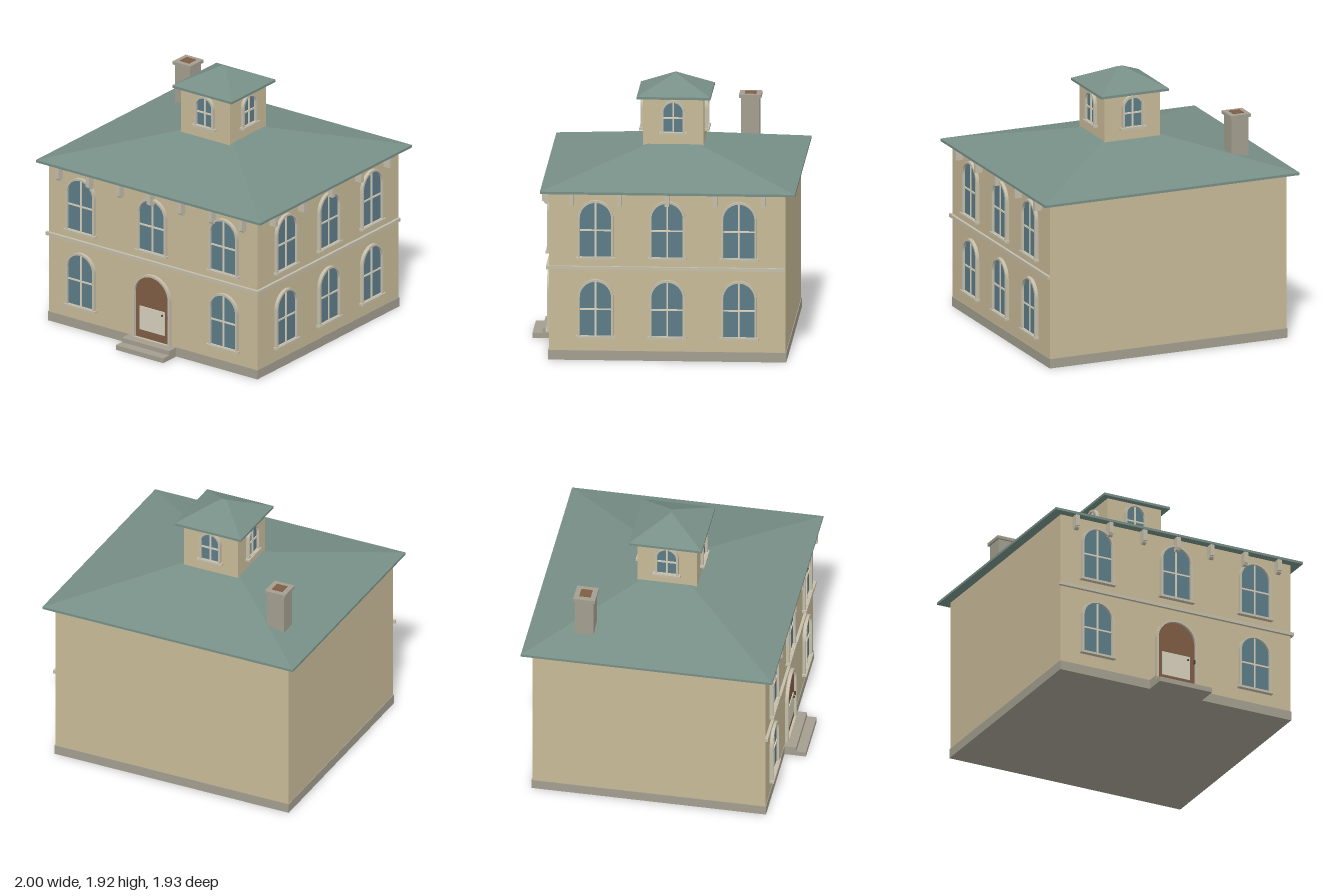
import * as THREE from 'three';

const paint = (name, color) => {
  const m = new THREE.MeshStandardMaterial({ color });
  m.name = name;
  return m;
};
const wall = paint('sand wall', 0xc8ba98);
const roofing = paint('green roofing', 0x778f87);
const stone = paint('grey stone', 0xa39e8f);
const trim = paint('pale trim', 0xc4bda9);
const glass = paint('blue glass', 0x5d7c88);
const bars = paint('cream bars', 0xd6d0bc);
const wood = paint('brown wood', 0x7f5d44);
const metal = paint('dark metal', 0x4a4038);

const ZC = -0.045; // middle of the walls in z

function add(parent, name, geometry, material, x = 0, y = 0, z = 0) {
  const mesh = new THREE.Mesh(geometry, material);
  mesh.name = name;
  mesh.position.set(x, y, z);
  parent.add(mesh);
  return mesh;
}

// Box given by its limits on each axis
function block(parent, name, material, [x0, x1], [y0, y1], [z0, z1]) {
  return add(parent, name, new THREE.BoxGeometry(x1 - x0, y1 - y0, z1 - z0), material,
    (x0 + x1) / 2, (y0 + y1) / 2, (z0 + z1) / 2);
}

// Hip roof: a box whose top corners are drawn in
function hipRoof(parent, name, w, d, topW, topD, y0, y1, z) {
  const g = new THREE.BoxGeometry(w, y1 - y0, d).toNonIndexed();
  const p = g.attributes.position;
  for (let i = 0; i < p.count; i++) {
    if (p.getY(i) > 0) {
      p.setX(i, Math.sign(p.getX(i)) * topW / 2);
      p.setZ(i, Math.sign(p.getZ(i)) * topD / 2);
    }
  }
  g.computeVertexNormals();
  add(parent, name, g, roofing, 0, (y0 + y1) / 2, z);
}

// Round-headed outline standing on y = base
function arch(path, half, top, base = 0) {
  path.moveTo(-half, base);
  path.lineTo(half, base);
  path.lineTo(half, top - half);
  path.absarc(0, top - half, half, 0, Math.PI, false);
  path.lineTo(-half, base);
  return path;
}

function archFrame(parent, name, half, top, width, depth) {
  const shape = arch(new THREE.Shape(), half, top);
  shape.holes.push(arch(new THREE.Path(), half - width, top - width, 0.004));
  add(parent, name, new THREE.ExtrudeGeometry(shape,
    { depth, bevelEnabled: false, curveSegments: 20 }), trim);
}

function archPanel(parent, name, half, top, material, z) {
  add(parent, name, new THREE.ShapeGeometry(arch(new THREE.Shape(), half, top), 20), material, 0, 0, z);
}

// Window with its sill top at the group origin, facing +z
function makeWindow(half, top, barY, sillHalf) {
  const g = new THREE.Group();
  g.name = 'window';
  archPanel(g, 'pane', half - 0.01, top - 0.01, glass, 0.005);
  archFrame(g, 'windowFrame', half, top, 0.016, 0.025);
  block(g, 'uprightBar', bars, [-0.006, 0.006], [0, top - 0.012], [0.004, 0.012]);
  block(g, 'crossBar', bars, [-half + 0.01, half - 0.01], [barY - 0.006, barY + 0.006], [0.004, 0.012]);
  block(g, 'sill', trim, [-sillHalf, sillHalf], [-0.015, 0.002], [0, 0.034]);
  return g;
}

// Eaves bracket facing +z, hung from the origin
function makeBracket(rounded) {
  const g = new THREE.Group();
  g.name = 'eavesBracket';
  block(g, 'bracketBlock', trim, [-0.016, 0.016], [-0.085, 0], [0, 0.055]);
  if (rounded) {
    const foot = new THREE.CylinderGeometry(0.022, 0.022, 0.032, 16).rotateZ(Math.PI / 2);
    add(g, 'bracketFoot', foot, trim, 0, -0.085, 0.022);
  }
  return g;
}

function place(parent, part, x, y, z, turn = 0) {
  part.position.set(x, y, z);
  part.rotation.y = turn;
  parent.add(part);
}

export function createModel() {
  const house = new THREE.Group();
  house.name = 'house';

  // Body, plinth and steps
  block(house, 'plinth', stone, [-0.935, 0.935], [0, 0.07], [-0.9, 0.81]);
  block(house, 'walls', wall, [-0.93, 0.93], [0.07, 1.232], [-0.895, 0.805]);
  block(house, 'lowerStep', stone, [-0.211, 0.211], [0, 0.036], [0.81, 0.966]);
  block(house, 'upperStep', stone, [-0.211, 0.211], [0.036, 0.07], [0.81, 0.895]);

  // String course on the front and left walls
  block(house, 'frontStringCourse', trim, [-0.945, 0.95], [0.665, 0.69], [0.805, 0.826]);
  block(house, 'sideStringCourse', trim, [0.93, 0.95], [0.665, 0.69], [-0.895, 0.805]);

  // Main windows and eaves brackets
  for (const y of [0.178, 0.757]) {
    for (const i of [-1, 0, 1]) {
      if (y > 0.5 || i !== 0) {
        place(house, makeWindow(0.128, 0.416, 0.197, 0.14), i * 0.637, y, 0.805);
      }
      place(house, makeWindow(0.128, 0.416, 0.197, 0.14), 0.93, y, ZC + i * 0.515, Math.PI / 2);
    }
  }
  for (let i = -3; i <= 3; i++) place(house, makeBracket(true), i * 0.2727, 1.227, 0.805);
  for (let i = -2; i <= 2; i++) place(house, makeBracket(false), 0.93, 1.227, ZC + i * 0.344, Math.PI / 2);

  // Front door
  const door = new THREE.Group();
  door.name = 'frontDoor';
  archPanel(door, 'doorLeaf', 0.158, 0.503, wood, 0.006);
  archFrame(door, 'doorFrame', 0.165, 0.51, 0.016, 0.025);
  block(door, 'doorPlate', bars, [-0.112, 0.112], [0.066, 0.248], [0.006, 0.012]);
  add(door, 'doorKnob', new THREE.SphereGeometry(0.008, 12, 8), metal, 0.093, 0.22, 0.016);
  block(door, 'doorLatch', metal, [0.143, 0.15], [0.2, 0.23], [0.006, 0.022]);
  place(house, door, 0, 0.07, 0.805);

  // Main roof
  block(house, 'eaves', roofing, [-1, 1], [1.227, 1.245], [-0.966, 0.866]);
  hipRoof(house, 'mainRoof', 2, 1.832, 0.4, 0.34, 1.245, 1.44, -0.05);

  // Cupola
  block(house, 'cupolaWalls', wall, [-0.217, 0.217], [1.39, 1.775], [ZC - 0.217, ZC + 0.217]);
  for (let i = 0; i < 4; i++) {
    const a = i * Math.PI / 2;
    place(house, makeWindow(0.085, 0.235, 0.105, 0.1),
      Math.sin(a) * 0.217, 1.523, ZC + Math.cos(a) * 0.217, a);
  }
  block(house, 'cupolaEaves', roofing, [-0.265, 0.265], [1.77, 1.788], [-0.315, 0.215]);
  hipRoof(house, 'cupolaRoof', 0.53, 0.53, 0.04, 0.004, 1.788, 1.917, -0.05);

  // Chimney
  block(house, 'chimneyStack', stone, [-0.757, -0.623], [1.25, 1.602], [-0.615, -0.481]);
  block(house, 'chimneyCap', stone, [-0.77, -0.61], [1.6, 1.623], [-0.628, -0.468]);
  block(house, 'flue', wood, [-0.731, -0.649], [1.61, 1.628], [-0.589, -0.507]);

  return house;
}
